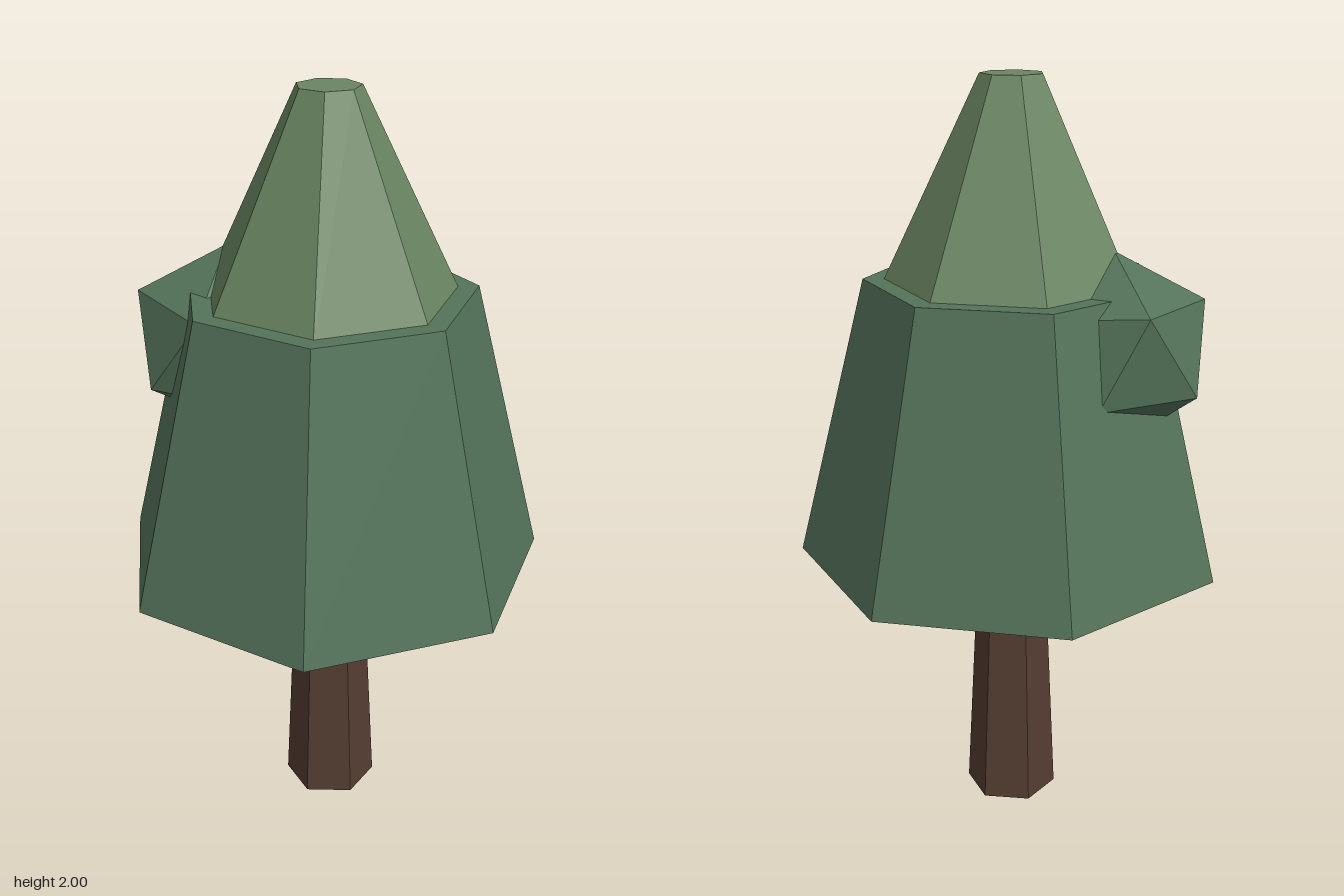
import * as THREE from 'three';

const AXIS_Z = 0.027;

const paint = (color) => new THREE.MeshStandardMaterial({ color, flatShading: true });

// Tapered prism standing between two heights
function frustum(name, rTop, rBottom, y0, y1, sides, turn, material) {
  const geometry = new THREE.CylinderGeometry(rTop, rBottom, y1 - y0, sides, 1, false, turn);
  const mesh = new THREE.Mesh(geometry, material);
  mesh.name = name;
  mesh.position.set(0, (y0 + y1) / 2, AXIS_Z);
  return mesh;
}

export function createModel() {
  const tree = new THREE.Group();
  tree.name = 'tree';

  const bark = paint(0x553d32);
  const darkLeaf = paint(0x54735a);
  const lightLeaf = paint(0x6a8562);

  // Six-sided trunk, running slightly into the foliage
  tree.add(frustum('trunk', 0.089, 0.125, 0, 0.78, 6, 0, bark));

  // Two seven-sided foliage tiers, one corner pointing to the back
  tree.add(frustum('lowerFoliage', 0.3825, 0.573, 0.74, 1.49, 7, Math.PI, darkLeaf));
  tree.add(frustum('upperFoliage', 0.0815, 0.347, 1.45, 2, 7, Math.PI, lightLeaf));

  // Leaf clump half sunk in the lower tier
  const clump = new THREE.Mesh(new THREE.IcosahedronGeometry(0.245, 0), darkLeaf);
  clump.name = 'leafClump';
  clump.position.set(-0.292, 1.34, 0.088);
  clump.rotation.z = -0.648;
  tree.add(clump);

  return tree;
}
